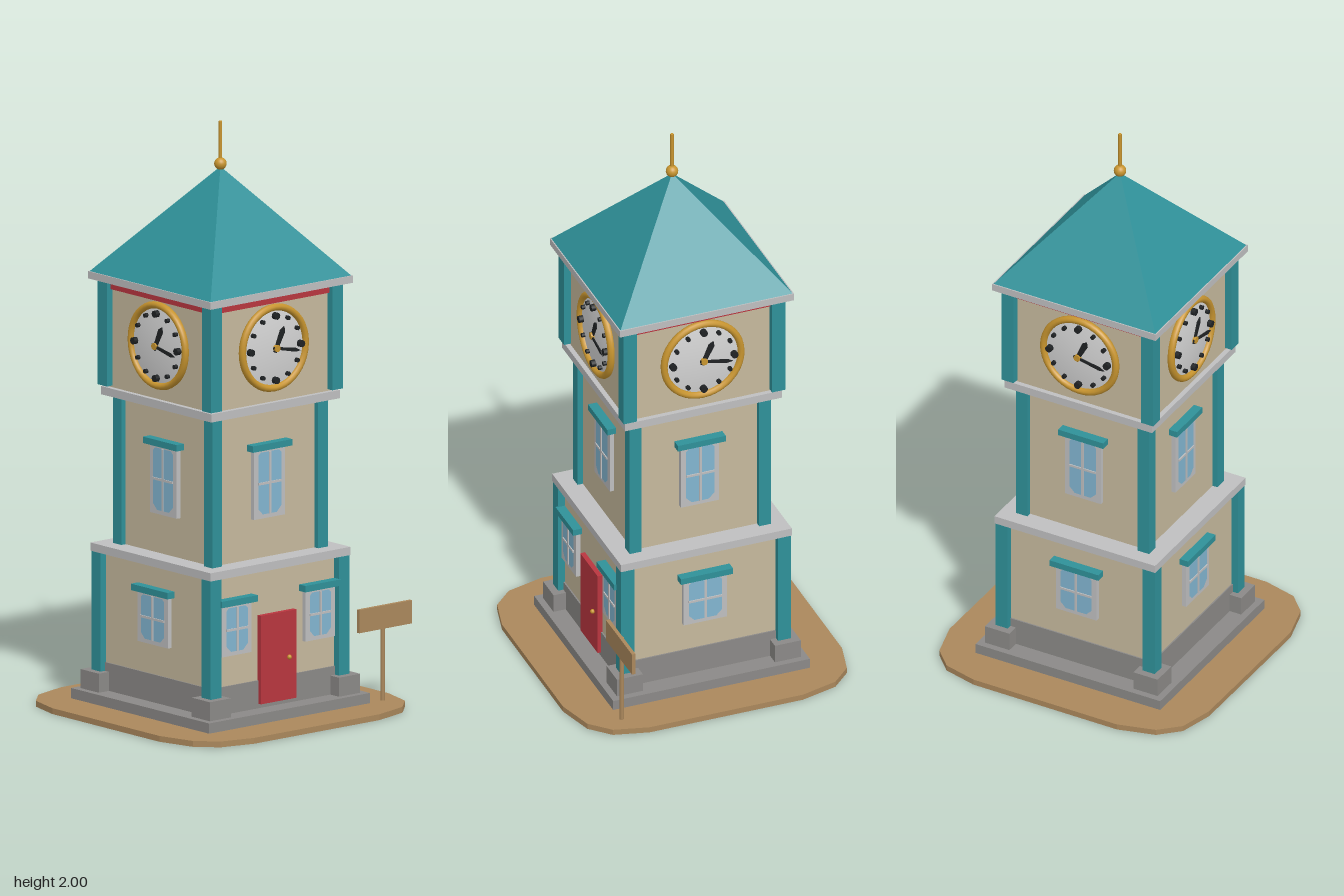
import * as THREE from 'three';

const mat = (name, color) => Object.assign(new THREE.MeshStandardMaterial({ color }), { name });
const M = {
  teal: mat('teal paint', 0x2f9199),
  wall: mat('cream plaster', 0xc6b99d),
  stone: mat('grey stone', 0x8b8987),
  trim: mat('pale trim', 0xbfbfc0),
  dial: mat('dial white', 0xd4d4d4),
  wood: mat('brown wood', 0xab885c),
  red: mat('door red', 0xb9363f),
  gold: mat('gold', 0xc8952f),
  glass: mat('window glass', 0x82b5d0),
  black: mat('black', 0x1f2224),
};
M.rust = M.red.clone();
M.rust = M.red;

function add(parent, name, geo, material, x = 0, y = 0, z = 0) {
  const m = new THREE.Mesh(geo, material);
  m.name = name;
  m.position.set(x, y, z);
  parent.add(m);
  return m;
}
// box given by its bottom and top heights
const slab = (p, name, w, d, y0, y1, material, x = 0, z = 0) =>
  add(p, name, new THREE.BoxGeometry(w, y1 - y0, d), material, x, (y0 + y1) / 2, z);

function group(parent, name) {
  const g = new THREE.Group();
  g.name = name;
  parent.add(g);
  return g;
}

// Four square posts with their outer faces at distance half
function corners(parent, name, half, size, y0, y1, material) {
  const g = group(parent, name);
  const c = half - size / 2;
  for (const sx of [-1, 1]) for (const sz of [-1, 1])
    slab(g, name, size, size, y0, y1, material, sx * c, sz * c);
}

// Window on a wall at distance z: frame, chamfered pane, cross bars, lintel
function windowUnit(parent, x, y0, y1, w, lintelW, z) {
  const g = group(parent, 'window');
  g.position.set(x, (y0 + y1) / 2, z);
  const h = y1 - y0;
  add(g, 'windowFrame', new THREE.BoxGeometry(w, h, 0.024), M.trim, 0, 0, 0.004);
  const a = w / 2 - 0.018, b = h / 2 - 0.014, c = 0.02;
  const pane = new THREE.Shape([
    [-a + c, -b], [a - c, -b], [a, -b + c], [a, b - c / 2], [a - c / 2, b],
    [-a + c / 2, b], [-a, b - c / 2], [-a, -b + c],
  ].map(p => new THREE.Vector2(...p)));
  add(g, 'windowPane', new THREE.ShapeGeometry(pane), M.glass, 0, 0, 0.0175);
  add(g, 'windowBar', new THREE.BoxGeometry(0.008, 2 * b, 0.006), M.trim, 0, 0, 0.018);
  add(g, 'windowBar', new THREE.BoxGeometry(2 * a, 0.008, 0.006), M.trim, 0, 0, 0.018);
  add(g, 'windowLintel', new THREE.BoxGeometry(lintelW, 0.022, 0.04), M.teal, 0, h / 2 + 0.006, 0.012);
}

// Tapered clock hand pointing clockwise from twelve
function hand(parent, name, length, width, angle, z) {
  const s = new THREE.Shape();
  s.moveTo(-width * 0.3, -0.015);
  s.lineTo(width * 0.3, -0.015);
  s.lineTo(width / 2, length * 0.8);
  s.lineTo(0, length);
  s.lineTo(-width / 2, length * 0.8);
  const geo = new THREE.ExtrudeGeometry(s, { depth: 0.004, bevelEnabled: false });
  add(parent, name, geo, M.black, 0, 0, z).rotation.z = -angle;
}

function clock(parent, y, z) {
  const g = group(parent, 'clock');
  g.position.set(0, y, z);
  // gently domed dial
  const dome = [];
  for (let i = 0; i <= 8; i++) {
    const r = 0.135 * (1 - i / 8);
    dome.push(new THREE.Vector2(r, 0.018 - 0.012 * (r / 0.135) ** 2));
  }
  add(g, 'clockDial', new THREE.LatheGeometry(dome, 40), M.dial).rotation.x = Math.PI / 2;
  const rim = add(g, 'clockRim', new THREE.TorusGeometry(0.138, 0.012, 10, 40), M.gold, 0, 0, 0.008);
  rim.scale.z = 1.1;
  for (let i = 0; i < 12; i++) {
    const t = i * Math.PI / 6, big = i % 3 === 0;
    const dot = new THREE.CylinderGeometry(big ? 0.012 : 0.0075, big ? 0.012 : 0.0075, 0.016, 12);
    add(g, 'hourMark', dot, M.black, 0.11 * Math.sin(t), 0.11 * Math.cos(t), big ? 0.019 : 0.014).rotation.x = Math.PI / 2;
  }
  hand(g, 'hourHand', 0.078, 0.022, 0.45, 0.019);
  hand(g, 'minuteHand', 0.105, 0.013, 1.77, 0.022);
  const pin = new THREE.CylinderGeometry(0.012, 0.012, 0.014, 16);
  add(g, 'clockPin', pin, M.gold, 0, 0, 0.022).rotation.x = Math.PI / 2;
}

export function createModel() {
  const model = new THREE.Group();
  model.name = 'clockTower';
  const tower = group(model, 'tower');
  tower.position.x = -0.02;

  // Ground plate: rounded square from one corner, turned four times
  const corner = [[0.5, 0.27], [0.465, 0.4], [0.4, 0.467], [0.28, 0.498]];
  const outline = [];
  for (let k = 0; k < 4; k++) for (const [x, y] of corner)
    outline.push(new THREE.Vector2(x, y).rotateAround(new THREE.Vector2(), k * Math.PI / 2));
  const ground = new THREE.ExtrudeGeometry(new THREE.Shape(outline), { depth: 0.02, bevelEnabled: false });
  ground.rotateX(-Math.PI / 2);
  add(tower, 'groundPlate', ground, M.wood);

  // Stone footing
  slab(tower, 'footingStep', 0.706, 0.706, 0.02, 0.055, M.stone);
  slab(tower, 'footingWall', 0.572, 0.572, 0.055, 0.15, M.stone);
  corners(tower, 'footingBlock', 0.33, 0.093, 0.055, 0.12, M.stone);

  // Three storeys with corner posts and ledges
  slab(tower, 'lowerWall', 0.562, 0.562, 0.15, 0.525, M.wall);
  corners(tower, 'lowerPost', 0.305, 0.047, 0.12, 0.525, M.teal);
  slab(tower, 'lowerLedge', 0.614, 0.614, 0.525, 0.553, M.trim);
  slab(tower, 'middleWall', 0.47, 0.47, 0.553, 1.06, M.wall);
  corners(tower, 'middlePost', 0.254, 0.043, 0.553, 1.06, M.teal);
  slab(tower, 'middleLedge', 0.564, 0.564, 1.06, 1.088, M.trim);
  slab(tower, 'clockWall', 0.53, 0.53, 1.088, 1.455, M.wall);
  corners(tower, 'upperPost', 0.29, 0.047, 1.094, 1.455, M.teal);
  slab(tower, 'eaveBand', 0.55, 0.55, 1.425, 1.452, M.rust);
  slab(tower, 'roofLedge', 0.626, 0.626, 1.455, 1.48, M.trim);

  // Pyramid roof with finial
  const roof = new THREE.ConeGeometry(0.309 * Math.SQRT2, 0.365, 4).toNonIndexed();
  roof.computeVertexNormals();
  add(tower, 'roof', roof, M.teal, 0, 1.6625, 0).rotation.y = Math.PI / 4;
  add(tower, 'finialBall', new THREE.SphereGeometry(0.021, 20, 14), M.gold, 0, 1.855, 0);
  add(tower, 'finialRod', new THREE.CylinderGeometry(0.006, 0.006, 0.14, 12), M.gold, 0, 1.93, 0);

  // Details on each of the four sides
  for (let k = 0; k < 4; k++) {
    const side = group(tower, ['frontSide', 'leftSide', 'backSide', 'rightSide'][k]);
    side.rotation.y = k * Math.PI / 2;
    clock(side, 1.273, 0.265);
    windowUnit(side, 0, 0.69, 0.93, 0.137, 0.172, 0.235);
    if (k > 0) windowUnit(side, 0, 0.255, 0.433, 0.155, 0.187, 0.281);
    else {
      for (const s of [-1, 1]) windowUnit(side, s * 0.183, 0.255, 0.433, 0.13, 0.157, 0.281);
      slab(side, 'door', 0.156, 0.03, 0.07, 0.372, M.red, 0, 0.283);
      add(side, 'doorKnob', new THREE.SphereGeometry(0.008, 12, 8), M.gold, 0.043, 0.215, 0.303);
    }
  }

  // Signpost beside the entrance
  const sign = group(model, 'signpost');
  slab(sign, 'signBoard', 0.232, 0.013, 0.267, 0.346, M.wood, 0.398, 0.352);
  add(sign, 'signPole', new THREE.CylinderGeometry(0.0075, 0.0075, 0.32, 10), M.wood, 0.394, 0.18, 0.347);
  return model;
}
